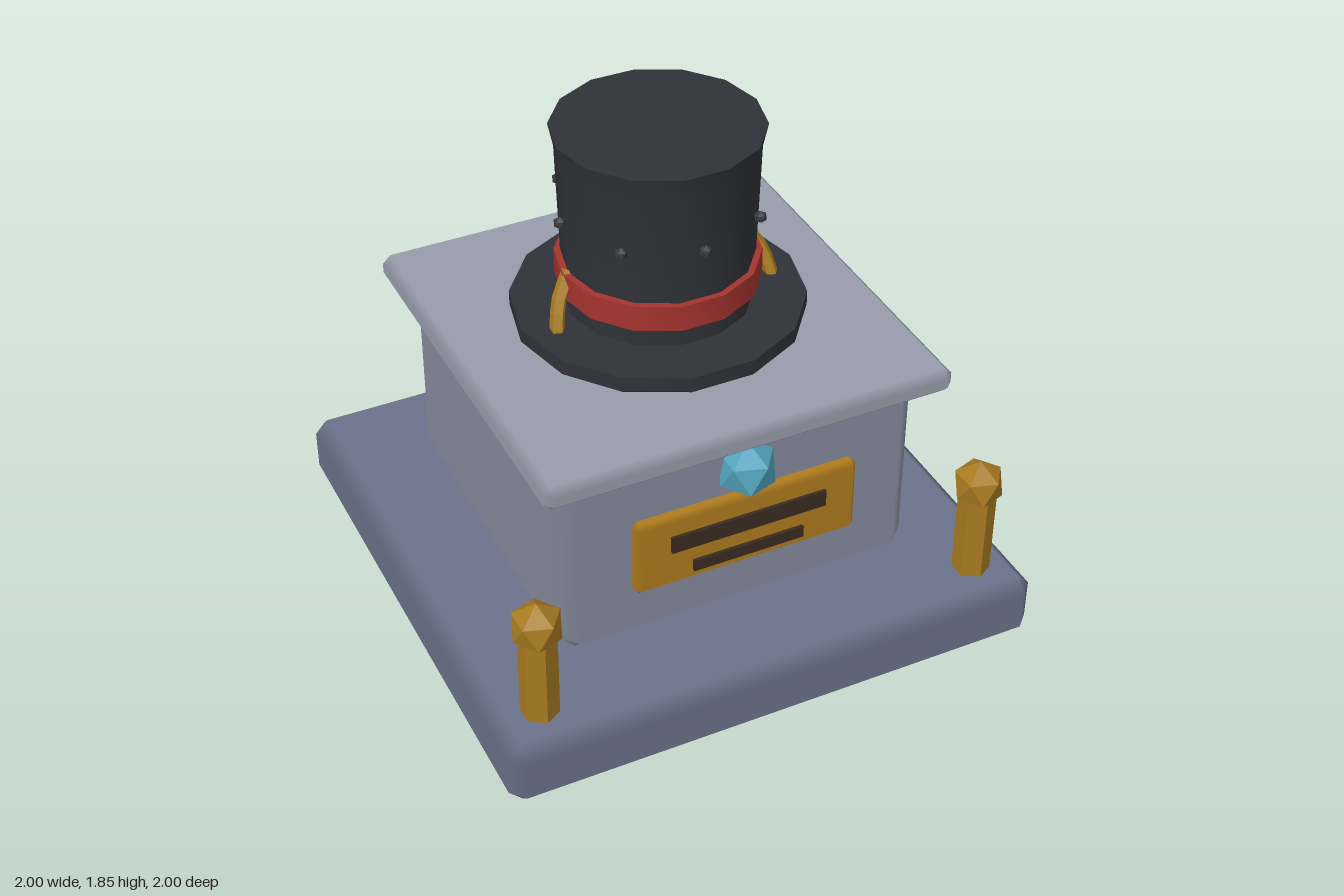
import * as THREE from 'three';
import { toCreasedNormals } from 'three/addons/utils/BufferGeometryUtils.js';

const mat = (color, flatShading = false) => new THREE.MeshStandardMaterial({ color, flatShading });

function add(parent, name, geometry, material, x = 0, y = 0, z = 0) {
  const mesh = new THREE.Mesh(geometry, material);
  mesh.name = name;
  mesh.position.set(x, y, z);
  parent.add(mesh);
  return mesh;
}

// Box with single-step chamfers; flat faces, chamfers shaded softly between them
function chamferBox(w, h, d, b) {
  const half = [w / 2, h / 2, d / 2], pos = [], nor = [], index = [];
  const id = (axis, s) => axis * 8 + (s[0] > 0 ? 1 : 0) + (s[1] > 0 ? 2 : 0) + (s[2] > 0 ? 4 : 0);
  for (let axis = 0; axis < 3; axis++) {
    for (let c = 0; c < 8; c++) {
      const s = [c & 1 ? 1 : -1, c & 2 ? 1 : -1, c & 4 ? 1 : -1];
      s.forEach((v, k) => {
        pos.push(v * (half[k] - (k === axis ? 0 : b)));
        nor.push(k === axis ? v : 0);
      });
    }
  }
  const point = (i) => new THREE.Vector3().fromArray(pos, i * 3);
  // Triangle turned so that it faces away from the centre
  const tri = (i, j, k) => {
    const [p, q, r] = [i, j, k].map(point);
    const n = q.clone().sub(p).cross(r.clone().sub(p));
    index.push(...(n.dot(p.add(q).add(r)) > 0 ? [i, j, k] : [i, k, j]));
  };
  const quad = (i, j, k, l) => { tri(i, j, k); tri(i, k, l); };
  const sign = (a, sa, c, sc, e, se) => { const s = []; s[a] = sa; s[c] = sc; s[e] = se; return s; };
  for (let a = 0; a < 3; a++) {
    const c = (a + 1) % 3, e = (a + 2) % 3;
    for (const sa of [-1, 1]) {
      quad(...[[-1, -1], [1, -1], [1, 1], [-1, 1]].map(([u, v]) => id(a, sign(a, sa, c, u, e, v))));
      for (const sc of [-1, 1]) {
        const lo = sign(a, sa, c, sc, e, -1), hi = sign(a, sa, c, sc, e, 1);
        quad(id(a, lo), id(a, hi), id(c, hi), id(c, lo));
        if (a === 0) for (const s of [lo, hi]) tri(id(0, s), id(1, s), id(2, s));
      }
    }
  }
  const g = new THREE.BufferGeometry();
  g.setAttribute('position', new THREE.Float32BufferAttribute(pos, 3));
  g.setAttribute('normal', new THREE.Float32BufferAttribute(nor, 3));
  g.setIndex(index);
  return g;
}

// 14-sided turned shape with a corner on the x axis
function turned(profile) {
  const points = profile.map(([r, y]) => new THREE.Vector2(r, y));
  return toCreasedNormals(new THREE.LatheGeometry(points, 14, Math.PI / 2), 0.5);
}

// Icosahedron standing on one of its corners
const gemGeometry = (r) => new THREE.IcosahedronGeometry(r, 0)
  .rotateZ(Math.atan(2 / (1 + Math.sqrt(5)))).rotateY(Math.PI);

export function createModel() {
  const model = new THREE.Group();
  model.name = 'hatPedestal';
  const gold = mat(0xa87b20, true);
  const plaqueGold = mat(0xb07c1e);
  const black = mat(0x2f3238);
  const dark = mat(0x3a2c22);

  // Stone pedestal
  add(model, 'base', chamferBox(2, 0.25, 2, 0.05), mat(0x6b728a), 0, 0.125);
  add(model, 'block', chamferBox(1.33, 0.75, 1.33, 0.065), mat(0x868a9c), 0, 0.625);
  add(model, 'topSlab', chamferBox(1.5, 0.095, 1.5, 0.03), mat(0x989dac), 0, 1.0375);

  // Plaque with two inlaid bars and a gem above
  add(model, 'plaque', chamferBox(0.83, 0.295, 0.06, 0.018), plaqueGold, 0, 0.63, 0.675);
  add(model, 'upperBar', new THREE.BoxGeometry(0.58, 0.065, 0.03), dark, 0, 0.67, 0.702);
  add(model, 'lowerBar', new THREE.BoxGeometry(0.415, 0.045, 0.03), dark, 0, 0.552, 0.702);
  add(model, 'gem', gemGeometry(0.109), mat(0x52a3bd, true), 0, 0.882, 0.68);

  // Hat
  const hat = new THREE.Group();
  hat.name = 'hat';
  model.add(hat);
  add(hat, 'brim', turned([[0, 1.085], [0.3, 1.085], [0.505, 1.1], [0.515, 1.11], [0.515, 1.165], [0, 1.17]]), black);
  add(hat, 'crown', turned([[0.33, 1.15], [0.336, 1.4], [0.347, 1.75], [0.365, 1.835], [0, 1.85]]), black);
  add(hat, 'band', turned([[0.32, 1.245], [0.357, 1.245], [0.357, 1.342], [0.32, 1.342]]), mat(0xa5342f));

  // Ring of studs around the crown
  for (let i = 0; i < 8; i++) {
    const a = i * Math.PI / 4;
    add(hat, 'stud', gemGeometry(0.023), mat(0x36393f, true), 0.36 * Math.sin(a), 1.547, 0.36 * Math.cos(a));
  }

  // Mirrored pairs: curved side hooks on the hat and posts at the front corners
  for (const side of [-1, 1]) {
    const path = new THREE.CatmullRomCurve3([
      [0.41, 1.07, 0.085], [0.405, 1.17, 0.06], [0.38, 1.26, 0.025], [0.325, 1.34, -0.01],
    ].map(([x, y, z]) => new THREE.Vector3(side * x, y, z)));
    add(hat, 'sideHook', new THREE.TubeGeometry(path, 6, 0.027, 5), gold);

    const post = new THREE.Group();
    post.name = 'post';
    post.position.set(side * 0.83, 0, 0.83);
    model.add(post);
    add(post, 'postShaft', new THREE.CylinderGeometry(0.067, 0.067, 0.38, 6), gold, 0, 0.43);
    add(post, 'postFinial', gemGeometry(0.094), gold, 0, 0.628);
  }
  return model;
}
